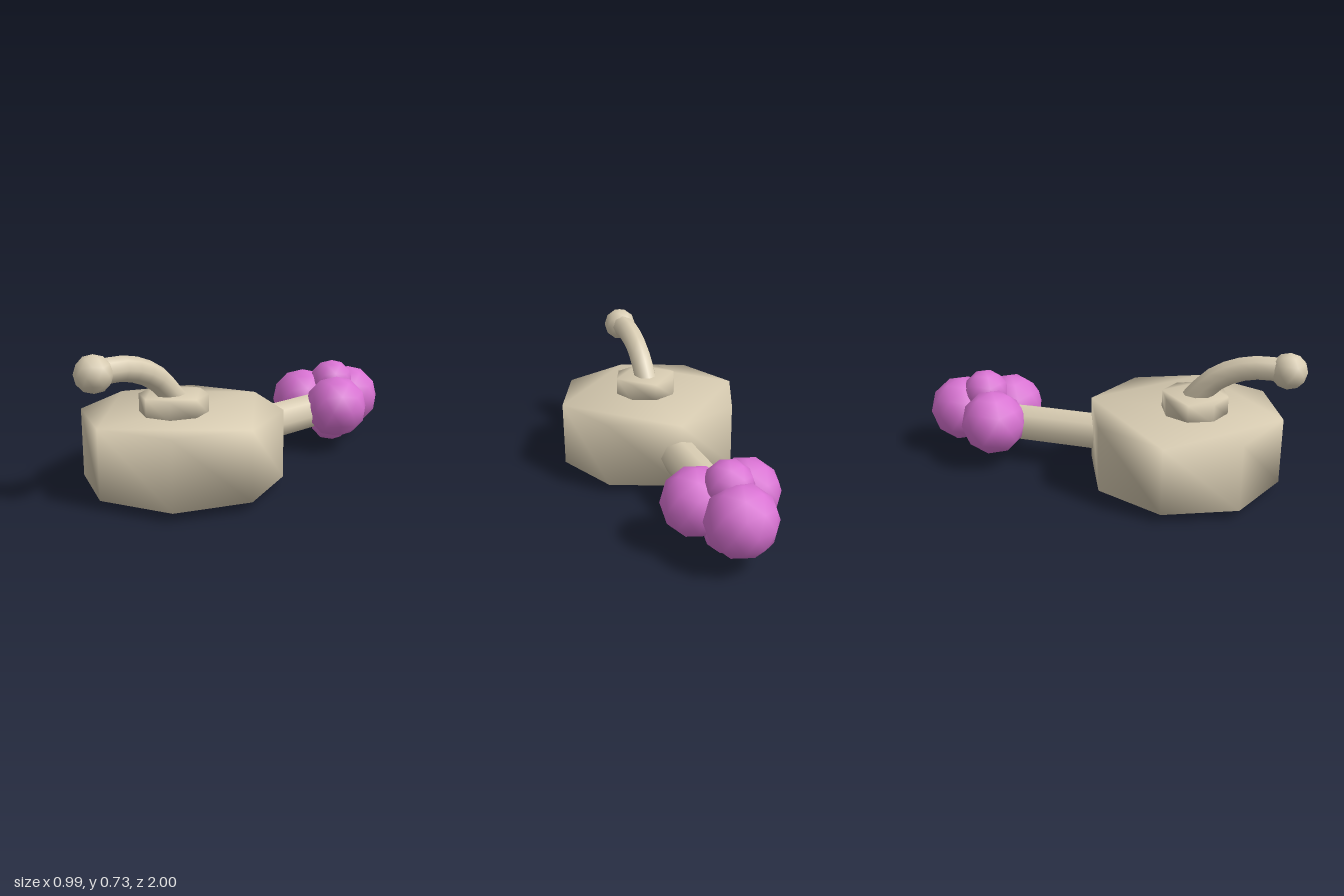
import * as THREE from 'three';
import { mergeVertices } from 'three/addons/utils/BufferGeometryUtils.js';

export function createModel() {
  const group = new THREE.Group();
  const tan = new THREE.MeshStandardMaterial({ color: 0xd8ccb2 });
  tan.name = 'tan';
  const pink = new THREE.MeshStandardMaterial({ color: 0xd972d3 });
  pink.name = 'orchid';

  const add = (name, geometry, material, x, y, z) => {
    const mesh = new THREE.Mesh(geometry, material);
    mesh.name = name;
    mesh.position.set(x, y, z);
    group.add(mesh);
    return mesh;
  };

  // Share vertices so shading flows softly over the rims
  const soften = (geometry) => {
    geometry.deleteAttribute('normal');
    geometry.deleteAttribute('uv');
    const merged = mergeVertices(geometry, 1e-4);
    merged.computeVertexNormals();
    return merged;
  };

  // Upright octagonal prism with corners on the axes and plain flat caps
  const octagonPrism = (radius, height) => {
    const points = [];
    for (let i = 0; i < 8; i++) {
      const a = (i * Math.PI) / 4;
      points.push(new THREE.Vector2(Math.cos(a) * radius, Math.sin(a) * radius));
    }
    const geometry = new THREE.ExtrudeGeometry(new THREE.Shape(points), { depth: height, bevelEnabled: false });
    geometry.rotateX(-Math.PI / 2);
    return soften(geometry);
  };

  // Low-poly ball with a corner at the top
  const ball = (radius) =>
    soften(new THREE.IcosahedronGeometry(radius, 1)).rotateZ(-Math.atan(2 / (1 + Math.sqrt(5))));

  // Body and collar
  add('body', octagonPrism(0.495, 0.342), tan, 0, 0.044, 0.41);
  add('collar', octagonPrism(0.169, 0.1), tan, 0, 0.374, 0.46);

  // Curved spout ending in a ball
  const path = new THREE.CatmullRomCurve3([
    new THREE.Vector3(0, 0.4, 0.42),
    new THREE.Vector3(0, 0.47, 0.47),
    new THREE.Vector3(0, 0.565, 0.56),
    new THREE.Vector3(0, 0.615, 0.65),
    new THREE.Vector3(0, 0.642, 0.75),
    new THREE.Vector3(0, 0.644, 0.9),
  ]);
  add('spout', new THREE.TubeGeometry(path, 8, 0.061, 8), tan, 0, 0, 0);
  add('spoutBall', ball(0.09), tan, 0, 0.642, 0.91);

  // Stem reaching backwards from the body
  const stem = new THREE.CylinderGeometry(0.098, 0.098, 0.7, 8).rotateX(Math.PI / 2);
  add('stem', stem, tan, 0, 0.2, -0.3);

  // Berry cluster: three large around, two small above and below
  const berries = [
    [0.17, -0.125, 0.238, -0.59],
    [0.17, 0.13, 0.238, -0.59],
    [0.174, 0.01, 0.238, -0.828],
    [0.121, 0.01, 0.348, -0.685],
    [0.121, 0.01, 0.122, -0.685],
  ];
  berries.forEach(([r, x, y, z], i) => add('berry' + (i + 1), ball(r), pink, x, y, z));

  return group;
}
